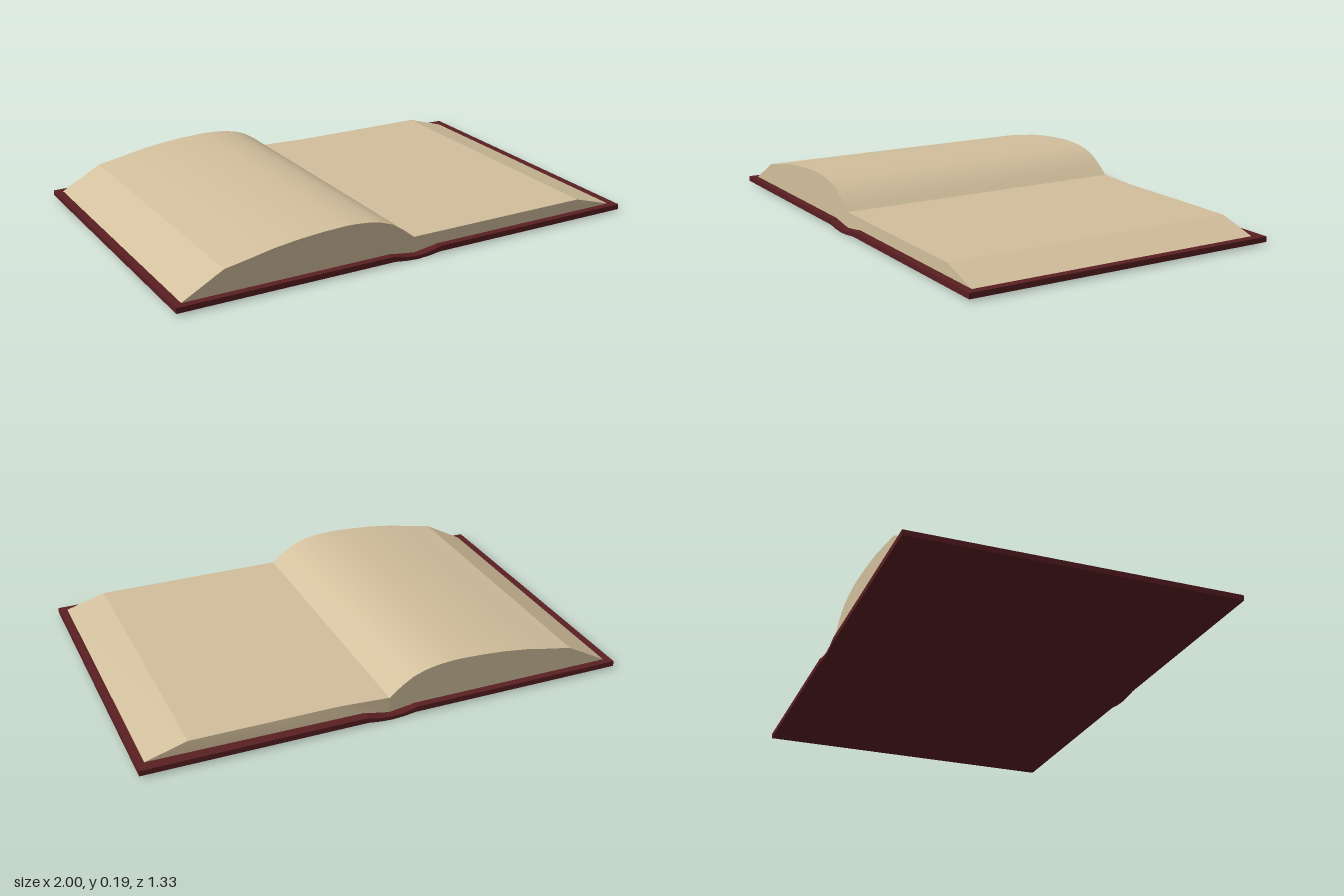
import * as THREE from 'three';
import { toCreasedNormals } from 'three/addons/utils/BufferGeometryUtils.js';

const paper = new THREE.MeshStandardMaterial({ color: 0xd2bf9c });
paper.name = 'paper';
const leather = new THREE.MeshStandardMaterial({ color: 0x5a1f22 });
leather.name = 'leather';

// Extrudes an x-y outline from z0 to z1
function extrude(points, z0, z1) {
  const shape = new THREE.Shape(points.map(([x, y]) => new THREE.Vector2(x, y)));
  const geometry = new THREE.ExtrudeGeometry(shape, { depth: z1 - z0, bevelEnabled: false });
  return geometry.translate(0, 0, z0);
}

function part(name, geometry, material) {
  const mesh = new THREE.Mesh(toCreasedNormals(geometry, 0.28), material);
  mesh.name = name;
  return mesh;
}

export function createModel() {
  const book = new THREE.Group();
  book.name = 'openBook';

  // Hard cover: two boards joined by a shallow sagging spine
  for (const [name, s] of [['rightCover', -1], ['leftCover', 1]]) {
    const board = new THREE.BoxGeometry(0.9, 0.022, 1.33).translate(s * 0.55, 0.021, 0);
    book.add(part(name, board, leather));
  }
  const spine = [
    [-0.1, 0.03], [-0.1, 0.01], [-0.05, 0.003], [0, 0], [0.05, 0.003],
    [0.1, 0.01], [0.1, 0.03], [0.05, 0.018], [0, 0.014], [-0.05, 0.018],
  ];
  book.add(part('spine', extrude(spine, -0.665, 0.665), leather));

  // Thick arched stack of turned pages
  const arched = [
    [0, 0.016], [0, 0.08], [-0.02, 0.096], [-0.05, 0.12], [-0.1, 0.152],
    [-0.15, 0.17], [-0.2, 0.18], [-0.25, 0.185], [-0.3, 0.187], [-0.4, 0.183],
    [-0.5, 0.175], [-0.6, 0.162], [-0.7, 0.142], [-0.8, 0.124], [-0.97, 0.031],
    [-0.1, 0.03],
  ];
  book.add(part('rightPages', extrude(arched, -0.635, 0.635), paper));

  // Thin flat stack, its back edge drawn in slightly away from the spine
  const flat = [
    [0, 0.016], [0.1, 0.03], [0.97, 0.031], [0.8, 0.081], [0.5, 0.081],
    [0.2, 0.081], [0.12, 0.081], [0, 0.081],
  ];
  const flatPages = extrude(flat, -0.635, 0.635);
  const pos = flatPages.attributes.position;
  for (let i = 0; i < pos.count; i++) {
    if (pos.getZ(i) < 0) pos.setZ(i, -0.635 + 0.017 * Math.min(1, pos.getX(i) / 0.2));
  }
  book.add(part('leftPages', flatPages, paper));

  return book;
}
